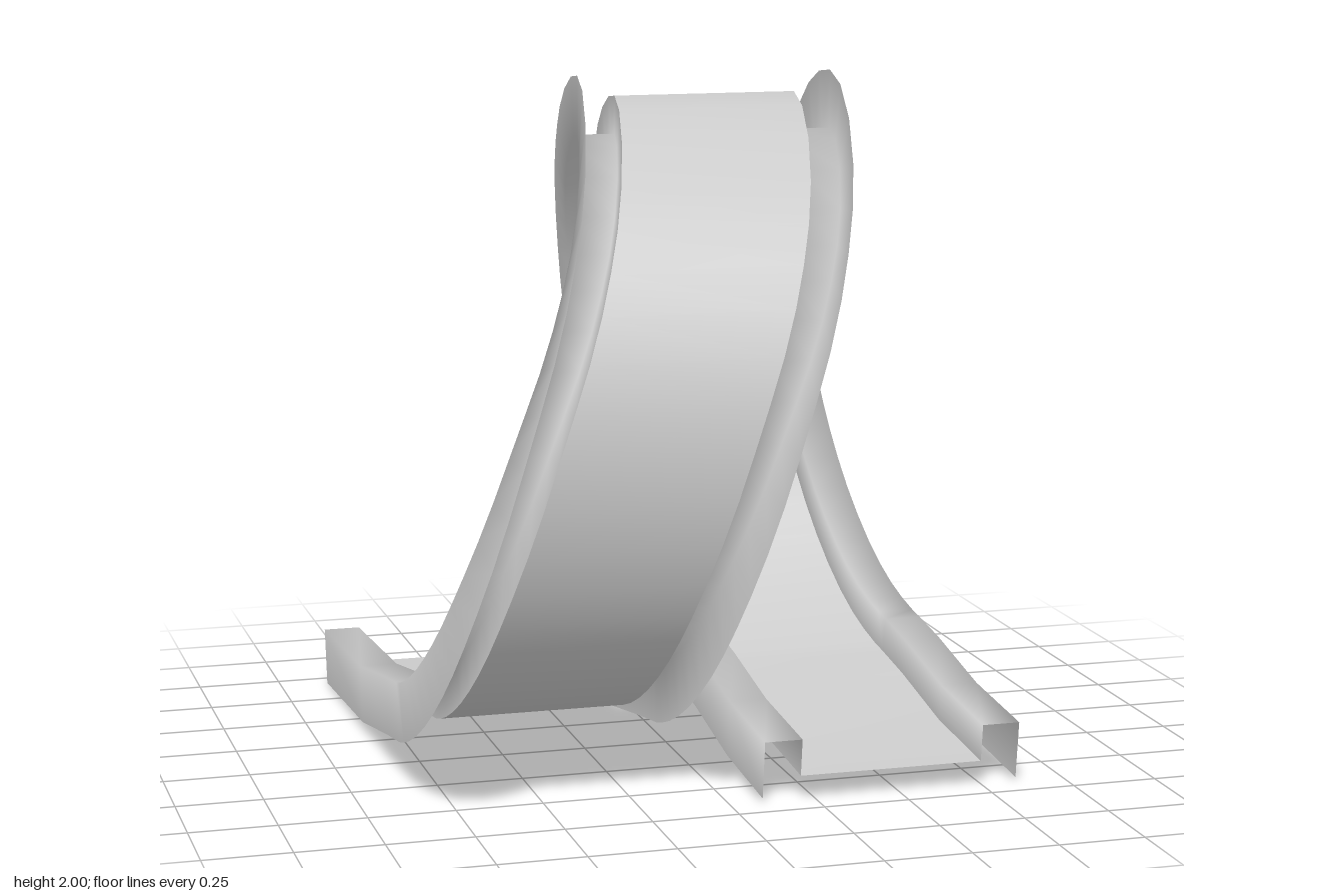
import * as THREE from 'three';

const RAD = Math.PI / 180;
const CENTRE_Z = 0.025, CENTRE_Y = 1.055, RADIUS = 0.775;

// Stations along the rail tops: x centre, y, z and pitch of the track
function buildStations() {
  const stations = [];
  const add = (x, y, z, pitch) => stations.push({ x, y, z, a: pitch * RAD });

  // entry ramp
  add(0.473, 0.185, 0.69, 7);
  add(0.473, 0.213, 0.35, 7.5);
  add(0.473, 0.272, 0.03, 10.5);

  // loop: sideways drift against the angle climbed from the bottom
  const drift = new THREE.SplineCurve([
    [12, 0.471], [27, 0.445], [48, 0.41], [70, 0.365], [90, 0.318], [111, 0.27], [131, 0.22],
    [149, 0.18], [180, 0.11], [219, -0.02], [245, -0.14], [270, -0.28], [295, -0.39],
    [315, -0.445], [333, -0.47], [348, -0.473],
  ].map(([a, x]) => new THREE.Vector2(a, x)));
  const steps = 45;
  for (let i = 0; i <= steps; i++) {
    const p = drift.getPoint(i / steps), a = p.x * RAD;
    add(p.y, CENTRE_Y - RADIUS * Math.cos(a), CENTRE_Z - RADIUS * Math.sin(a), p.x);
  }

  // exit ramp
  add(-0.473, 0.272, 0.02, 349.5);
  add(-0.473, 0.206, -0.36, 353);
  add(-0.473, 0.17, -0.97, 350);
  return stations;
}

// Sweep an open profile of [across, up] points through the stations
function sweep(name, profile, stations, material) {
  const pos = [], index = [], n = profile.length;
  stations.forEach(({ x, y, z, a }, i) => {
    profile.forEach(([u, v], j) => {
      pos.push(x + u, y + v * Math.cos(a), z + v * Math.sin(a));
      if (i && j) {
        const d = i * n + j, c = d - 1, b = d - n, e = b - 1;
        index.push(e, b, d, e, d, c);
      }
    });
  });
  const geo = new THREE.BufferGeometry();
  geo.setAttribute('position', new THREE.Float32BufferAttribute(pos, 3));
  geo.setIndex(index);
  geo.computeVertexNormals();
  const mesh = new THREE.Mesh(geo, material);
  mesh.name = name;
  return mesh;
}

export function createModel() {
  const model = new THREE.Group();
  model.name = 'loopTrack';
  const material = new THREE.MeshStandardMaterial({ color: 0xcccccc, side: THREE.DoubleSide });
  const stations = buildStations();

  // running surface
  model.add(sweep('deck', [[-0.27, -0.11], [0.27, -0.11]], stations, material));

  // raised kerbs with a skirt hanging on the outside
  const rail = [[0.27, -0.11], [0.27, 0], [0.38, 0], [0.38, -0.17]];
  const mirrored = rail.map(([u, v]) => [-u, v]).reverse();
  model.add(sweep('leftRail', rail, stations, material));
  model.add(sweep('rightRail', mirrored, stations, material));
  return model;
}
